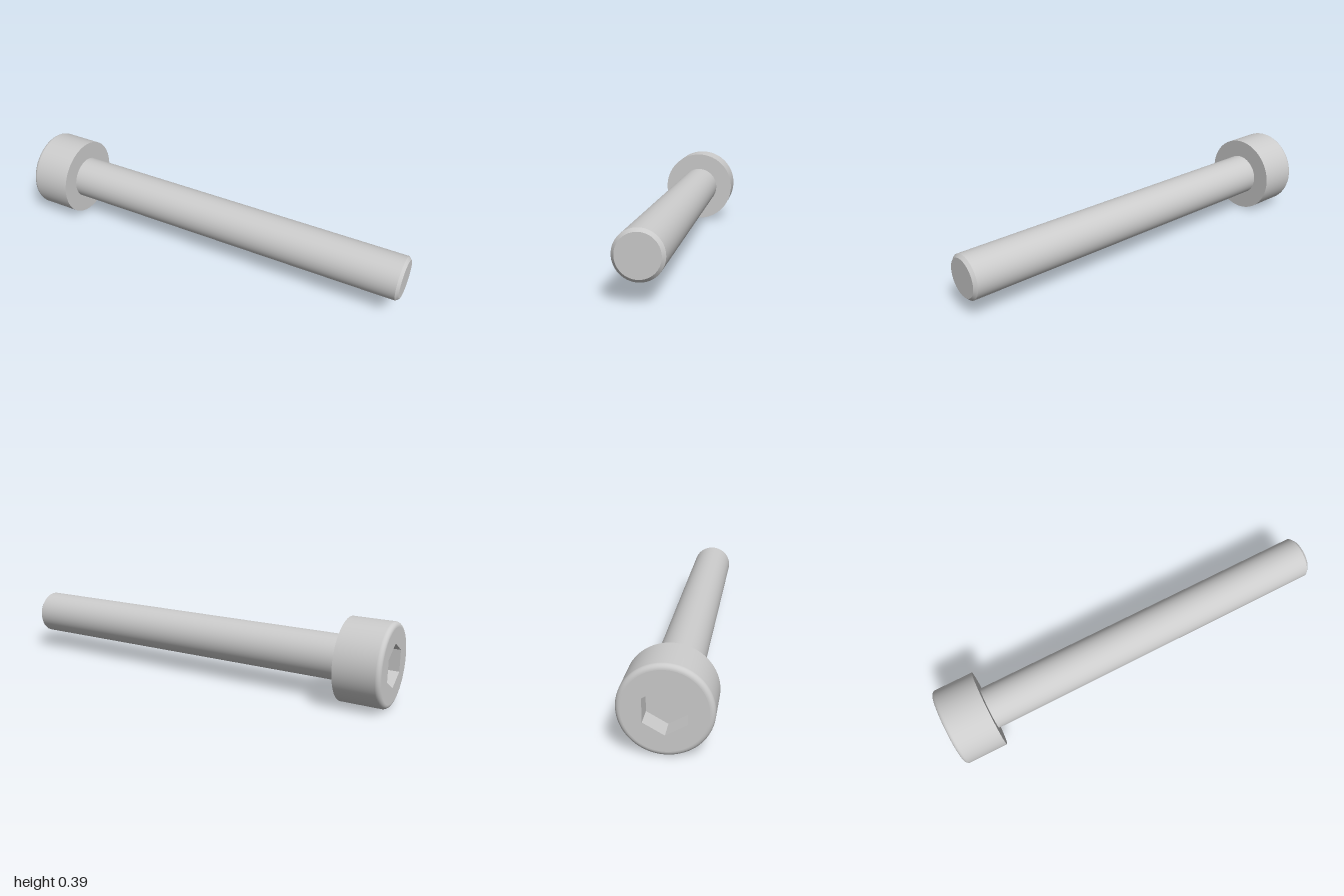
import * as THREE from 'three';

const SEG = 96;
const UNIT = 2 / 28;                 // the bolt is 28 units long overall
const HEAD_R = 2.75 * UNIT, HEAD_L = 3 * UNIT, FILLET = 0.3 * UNIT;
const SHANK_R = 1.5 * UNIT, CHAMFER = 0.2 * UNIT;
const HEX_R = 2.5 * UNIT / Math.sqrt(3), HEX_DEPTH = 1.3 * UNIT;
const X0 = -1, X1 = X0 + HEAD_L, X2 = 1;

export function createModel() {
  const model = new THREE.Group();
  model.name = 'socketHeadBolt';
  const material = new THREE.MeshStandardMaterial({ color: 0xcccccc });

  const add = (name, geometry, parent) => {
    const mesh = new THREE.Mesh(geometry, material);
    mesh.name = name;
    parent.add(mesh);
    return mesh;
  };
  const part = (name) => {
    const group = new THREE.Group();
    group.name = name;
    group.position.y = HEAD_R;
    model.add(group);
    return group;
  };
  // Surface turned around the x axis; profile points are [x, radius]
  const turned = (profile) => new THREE.LatheGeometry(
    profile.map(([x, r]) => new THREE.Vector2(r, x)), SEG).rotateZ(-Math.PI / 2);

  // Head: rounded outer rim, flat underside
  const head = part('head');
  const rim = [];
  for (let i = 0; i <= 8; i++) {
    const a = (i / 8) * Math.PI / 2;
    rim.push([X0 + FILLET * (1 - Math.sin(a)), HEAD_R - FILLET * (1 - Math.cos(a))]);
  }
  rim.reverse();
  rim.sort((p, q) => p[0] - q[0]);
  add('headSide', turned([...rim, [X1, HEAD_R]]), head);
  add('headUnderside', turned([[X1, HEAD_R], [X1, SHANK_R]]), head);

  // Head end face with the hexagonal opening
  const face = new THREE.Shape().absarc(0, 0, HEAD_R - FILLET, 0, Math.PI * 2, false);
  const corners = Array.from({ length: 6 }, (_, i) => {
    const a = Math.PI / 2 - i * Math.PI / 3;
    return new THREE.Vector2(HEX_R * Math.cos(a), HEX_R * Math.sin(a));
  });
  face.holes.push(new THREE.Path(corners));
  add('headFace', new THREE.ShapeGeometry(face, SEG).rotateY(-Math.PI / 2).translate(X0, 0, 0), head);

  // Hex socket: inward-facing walls and flat floor
  const socket = part('hexSocket');
  const walls = new THREE.CylinderGeometry(HEX_R, HEX_R, HEX_DEPTH, 6, 1, true, Math.PI / 2)
    .rotateZ(-Math.PI / 2)
    .scale(1, 1, -1)
    .translate(X0 + HEX_DEPTH / 2, 0, 0)
    .toNonIndexed();
  walls.computeVertexNormals();
  add('socketWalls', walls, socket);
  add('socketFloor', new THREE.CircleGeometry(HEX_R, 6, Math.PI / 2)
    .rotateY(-Math.PI / 2).translate(X0 + HEX_DEPTH, 0, 0), socket);

  // Shank with chamfered tip
  const shank = part('shank');
  const tipR = SHANK_R - CHAMFER;
  add('shankSide', turned([[X1, SHANK_R], [X2 - CHAMFER, SHANK_R]]), shank);
  add('tipChamfer', turned([[X2 - CHAMFER, SHANK_R], [X2, tipR]]), shank);
  add('tipFace', new THREE.CircleGeometry(tipR, SEG).rotateY(Math.PI / 2).translate(X2, 0, 0), shank);

  return model;
}
